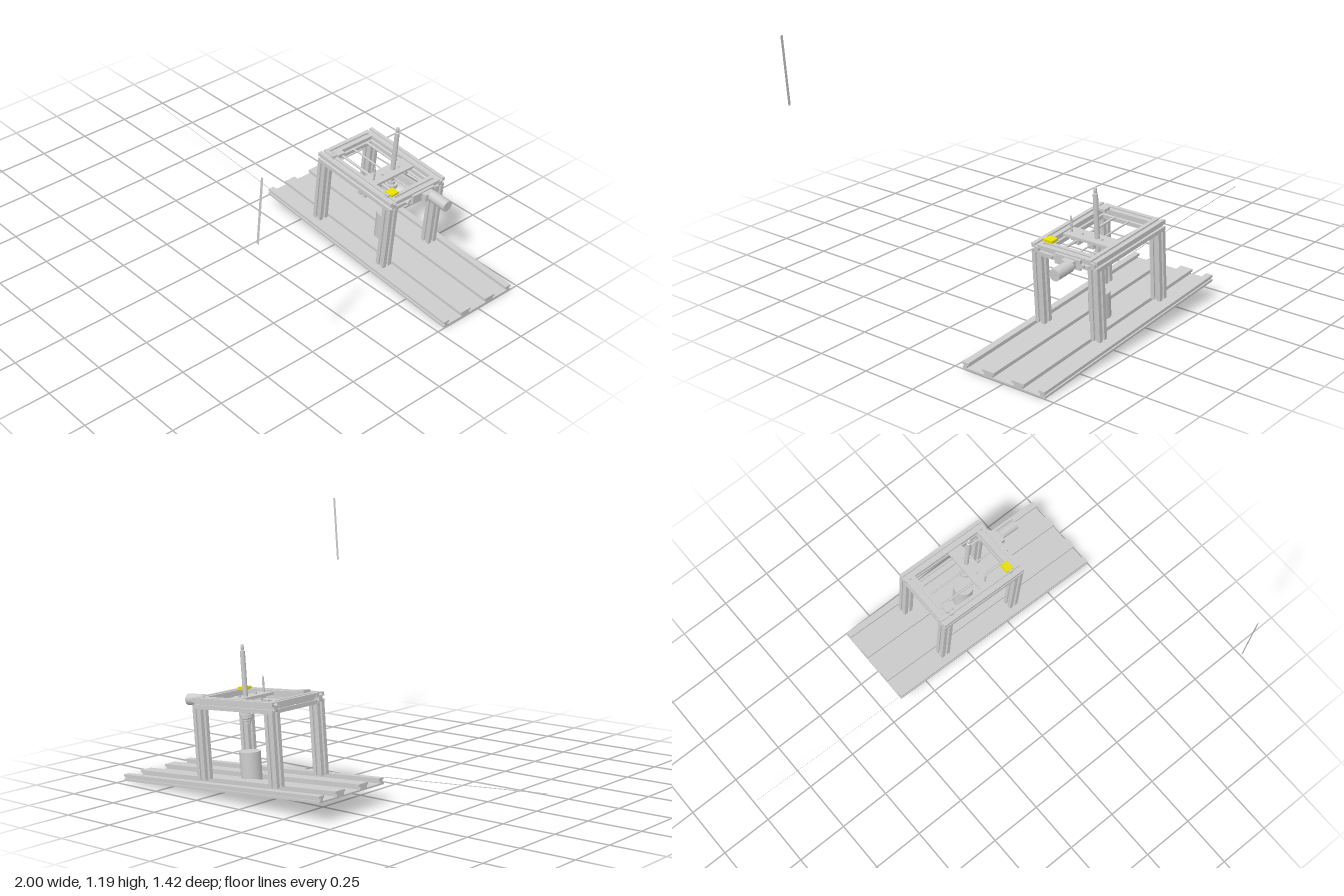
import * as THREE from 'three';

const grey = new THREE.MeshStandardMaterial({ color: 0xcccccc });
const yellow = new THREE.MeshStandardMaterial({ color: 0xe8e000 });
const thin = new THREE.MeshStandardMaterial({ color: 0xcccccc, side: THREE.DoubleSide });

function add(parent, name, geometry, x, y, z, material = grey) {
  const mesh = new THREE.Mesh(geometry, material);
  mesh.name = name;
  mesh.position.set(x, y, z);
  parent.add(mesh);
  return mesh;
}

const box = (w, h, d) => new THREE.BoxGeometry(w, h, d);
const rod = (r, len, axis = 'y', sides = 24) => {
  const g = new THREE.CylinderGeometry(r, r, len, sides);
  if (axis === 'x') g.rotateZ(Math.PI / 2);
  if (axis === 'z') g.rotateX(Math.PI / 2);
  return g;
};

// Square slotted profile, extruded and centred along one axis
function profileBar(len, axis) {
  const h = 0.024;
  const side = [[-h, -h], [-0.006, -h], [-0.006, -0.018], [-0.012, -0.018], [-0.007, -0.011],
    [0.007, -0.011], [0.012, -0.018], [0.006, -0.018], [0.006, -h]];
  const pts = [];
  for (let k = 0; k < 4; k++) {
    const c = Math.round(Math.cos(k * Math.PI / 2)), s = Math.round(Math.sin(k * Math.PI / 2));
    for (const [x, y] of side) pts.push(new THREE.Vector2(x * c - y * s, x * s + y * c));
  }
  const g = new THREE.ExtrudeGeometry(new THREE.Shape(pts), { depth: len, bevelEnabled: false });
  g.translate(0, 0, -len / 2);
  if (axis === 'x') g.rotateY(Math.PI / 2);
  if (axis === 'y') g.rotateX(Math.PI / 2);
  return g;
}

// Bed plate with three wide undercut slots on top and a groove in each side
function bedPlate(len) {
  const w = 0.209, t = 0.03;
  const pts = [[-w, 0], [w, 0], [w, 0.01], [w - 0.007, 0.01], [w - 0.007, 0.02], [w, 0.02], [w, t]];
  for (const [a, b] of [[0.178, 0.106], [0.045, -0.045], [-0.106, -0.178]]) {
    pts.push([a, t], [a, 0.019], [a + 0.008, 0.019], [a + 0.008, 0.007],
      [b - 0.008, 0.007], [b - 0.008, 0.019], [b, 0.019], [b, t]);
  }
  pts.push([-w, t], [-w, 0.02], [0.007 - w, 0.02], [0.007 - w, 0.01], [-w, 0.01]);
  const shape = new THREE.Shape(pts.map(([x, y]) => new THREE.Vector2(x, y)));
  const g = new THREE.ExtrudeGeometry(shape, { depth: len, bevelEnabled: false });
  g.translate(0, 0, -len / 2);
  return g.rotateY(Math.PI / 2);
}

export function createModel() {
  const model = new THREE.Group();
  model.name = 'gantryRig';

  // The whole machine leans slightly
  const rig = new THREE.Group();
  rig.name = 'machine';
  rig.position.set(0.4165, 0.042, -0.5);
  rig.rotation.set(0, -0.006, -0.0725);
  model.add(rig);

  add(rig, 'bedPlate', bedPlate(1.165), 0, 0, 0);

  // Gantry frame
  const xs = [-0.283, 0.139], zs = [0.149, -0.136], railY = 0.368;
  for (const x of xs) {
    for (const z of zs) add(rig, 'post', profileBar(0.314, 'y'), x, 0.187, z);
    add(rig, 'crossRail', profileBar(0.237, 'z'), x, railY, 0.0065);
  }
  for (const z of zs) add(rig, 'sideRail', profileBar(0.472, 'x'), -0.073, railY, z);

  // Guide rods and lead screw
  for (const z of [0.07, -0.09]) add(rig, 'guideRod', rod(0.006, 0.43, 'x'), -0.072, 0.36, z);
  add(rig, 'leadScrew', rod(0.004, 0.47, 'x'), -0.07, 0.36, -0.005);

  // Sliding bridge with its bearing blocks
  add(rig, 'bridgePlate', box(0.075, 0.012, 0.235), -0.022, 0.38, 0.0065);
  for (const z of [0.07, -0.005, -0.09]) add(rig, 'bearingBlock', box(0.05, 0.03, 0.03), -0.022, 0.36, z);
  for (const z of [0.05, -0.05]) add(rig, 'bolt', rod(0.005, 0.008, 'y', 6), -0.02, 0.389, z);
  add(rig, 'guidePin', rod(0.005, 0.1, 'y', 12), -0.017, 0.4, 0.105);
  add(rig, 'guidePinTip', new THREE.ConeGeometry(0.005, 0.015, 12), -0.017, 0.457, 0.105);

  // Spindle and chuck
  const spindle = [[0, 0.615], [0.006, 0.612], [0.008, 0.6], [0.006, 0.588], [0.011, 0.585], [0.011, 0.325],
    [0.018, 0.325], [0.018, 0.31], [0.03, 0.31], [0.03, 0.292], [0.022, 0.288],
    [0.022, 0.278], [0.016, 0.276], [0.016, 0.266], [0, 0.266]];
  // Each segment is its own lathe, so edges stay sharp
  const spindleGroup = new THREE.Group();
  spindleGroup.name = 'spindle';
  rig.add(spindleGroup);
  for (let i = spindle.length - 1; i > 0; i--) {
    const seg = [spindle[i], spindle[i - 1]].map(([r, y]) => new THREE.Vector2(r, y));
    add(spindleGroup, 'spindleSection', new THREE.LatheGeometry(seg, 28), -0.025, 0, -0.02);
  }

  // Drive motor on the right end
  add(rig, 'motorBracket', box(0.012, 0.045, 0.13), 0.169, 0.362, -0.02);
  add(rig, 'gearHousing', box(0.025, 0.034, 0.055), 0.187, 0.362, -0.035);
  add(rig, 'coupling', rod(0.018, 0.03, 'x'), 0.2, 0.362, -0.048);
  add(rig, 'motor', rod(0.026, 0.095, 'x', 32), 0.247, 0.362, -0.048);
  for (const z of [0.07, -0.09]) add(rig, 'rodEnd', rod(0.01, 0.014, 'x'), 0.168, 0.36, z);

  // Limit switches on the frame
  add(rig, 'yellowSwitch', box(0.04, 0.012, 0.045), 0.108, 0.397, 0.115, yellow);
  add(rig, 'yellowSwitchFoot', box(0.02, 0.016, 0.02), 0.108, 0.394, 0.138);
  add(rig, 'greySwitch', box(0.04, 0.012, 0.04), -0.244, 0.4, 0.11);
  add(rig, 'greySwitchFoot', box(0.018, 0.016, 0.02), -0.244, 0.394, 0.138);

  // Workpiece on the bed
  add(rig, 'workpiece', rod(0.047, 0.138, 'y', 40), -0.027, 0.076, -0.018);

  // Thin wire leading away from the bed
  add(rig, 'wire', new THREE.PlaneGeometry(0.837, 0.003), -1.001, 0.031, 0.205, thin);

  // Detached flat strip
  const strip = add(model, 'flatStrip', new THREE.PlaneGeometry(0.013, 0.31), 0.936, 1.035, 0.71, thin);
  strip.rotation.z = -0.0725;

  return model;
}
